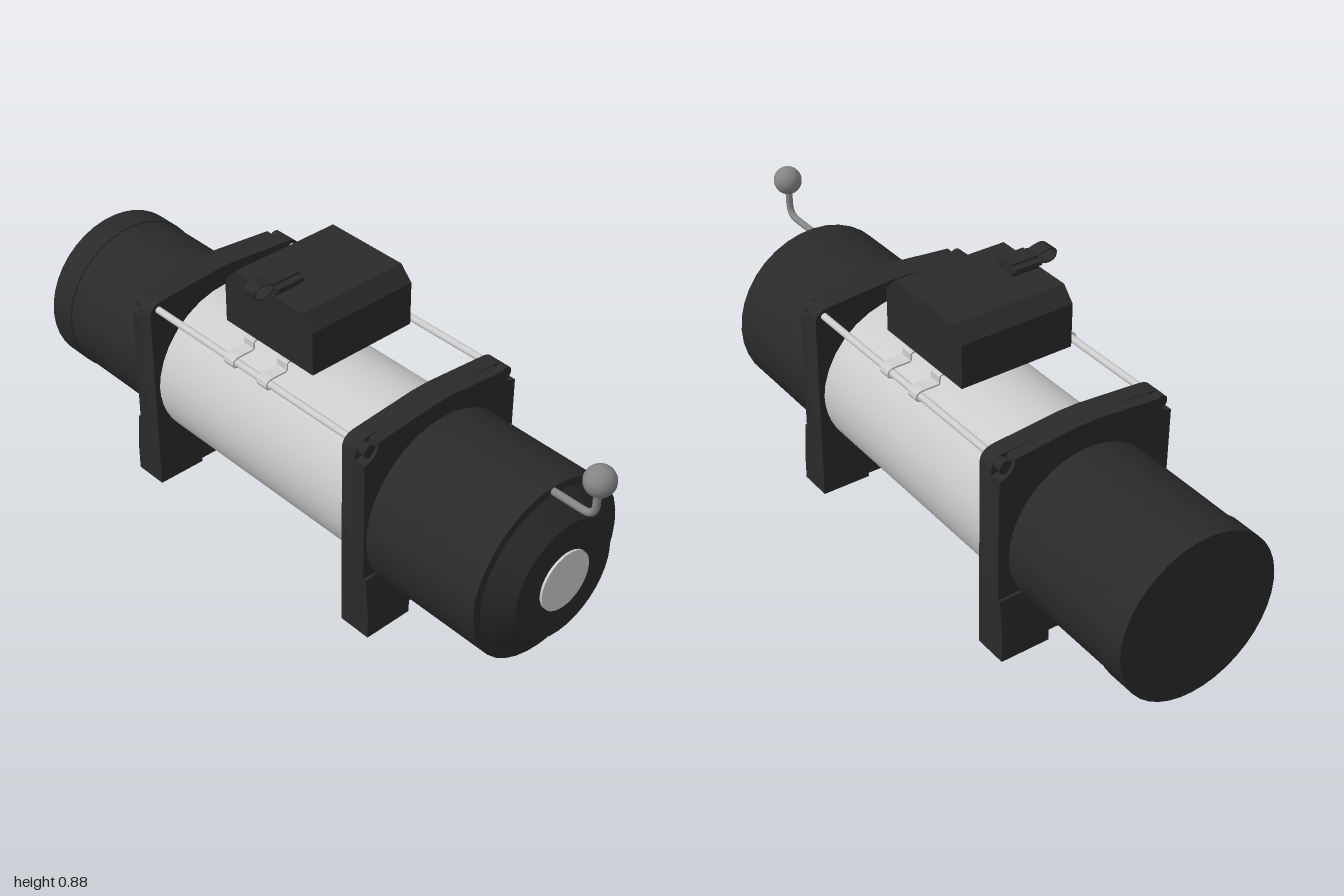
import * as THREE from 'three';
import { toCreasedNormals } from 'three/addons/utils/BufferGeometryUtils.js';

const AXIS = 0.33; // height of the drum axis
const mat = (color) => new THREE.MeshStandardMaterial({ color });
const dark = mat(0x2a2a2a), light = mat(0xcccccc), steel = mat(0x858585);

function add(parent, name, geo, material) {
  const mesh = new THREE.Mesh(geo, material);
  mesh.name = name;
  parent.add(mesh);
  return mesh;
}

// Turned part along x; profile is a list of [x, radius]
function turned(profile, sides = 40) {
  const pts = profile.map(([x, r]) => new THREE.Vector2(r, x));
  const geo = new THREE.LatheGeometry(pts, sides).rotateZ(-Math.PI / 2).translate(0, AXIS, 0);
  return toCreasedNormals(geo, 0.4);
}

// Extrude a shape drawn in the (-z, y) plane along x
function alongX(shape, x, width) {
  const geo = new THREE.ExtrudeGeometry(shape, { depth: width, bevelEnabled: false, curveSegments: 16 });
  return toCreasedNormals(geo.rotateY(Math.PI / 2).translate(x, 0, 0), 0.5);
}

// Thin band following a [z, y] path, centred on x
function ribbon(path, t, x, width) {
  const p = path.map(([z, y]) => new THREE.Vector2(-z, y));
  const side = (s) => p.map((q, i) => {
    const d = p[Math.min(i + 1, p.length - 1)].clone().sub(p[Math.max(i - 1, 0)]).normalize();
    return new THREE.Vector2(q.x - d.y * t * s, q.y + d.x * t * s);
  });
  return alongX(new THREE.Shape([...side(0.5), ...side(-0.5).reverse()]), x - width / 2, width);
}

// Outline of a support plate; cut leaves pockets round the tie bolts
function plateShape(cut) {
  const s = new THREE.Shape();
  s.moveTo(-0.123, 0.012);
  s.lineTo(-0.123, 0);
  s.lineTo(-0.279, 0);
  if (cut) {
    s.lineTo(-0.279, 0.585);
    s.quadraticCurveTo(-0.235, 0.59, -0.23, 0.636);
  } else {
    s.lineTo(-0.279, 0.6);
    s.quadraticCurveTo(-0.277, 0.634, -0.235, 0.638);
  }
  s.lineTo(-0.03, 0.655);
  s.lineTo(0.03, 0.655);
  if (cut) {
    s.lineTo(0.23, 0.636);
    s.quadraticCurveTo(0.235, 0.59, 0.279, 0.585);
  } else {
    s.lineTo(0.235, 0.638);
    s.quadraticCurveTo(0.277, 0.634, 0.279, 0.6);
  }
  s.lineTo(0.279, 0);
  s.lineTo(0.123, 0);
  s.lineTo(0.123, 0.012);
  return s;
}

// Support plate whose outer face looks along +x
function makePlate(name) {
  const plate = new THREE.Group();
  plate.name = name;
  const inner = plateShape(false);
  inner.holes.push(new THREE.Path().absarc(0, AXIS, 0.264, 0, Math.PI * 2, true));
  add(plate, 'plateInner', alongX(inner, 0, 0.025), dark);
  add(plate, 'plateMiddle', alongX(plateShape(false), 0.025, 0.025), dark);
  add(plate, 'plateOuter', alongX(plateShape(true), 0.05, 0.035), dark);
  for (const s of [-1, 1]) {
    // flared foot
    const profile = new THREE.Shape([[0, 0], [0.105, 0], [0.105, 0.08], [0.085, 0.2], [0, 0.2]]
      .map(([x, y]) => new THREE.Vector2(x, y)));
    const foot = new THREE.ExtrudeGeometry(profile, { depth: 0.05, bevelEnabled: false });
    // the foot covers only the outer part so the drum recess stays clear
    foot.scale(0.55, 1, 3.12).translate(0.0475, 0, s > 0 ? 0.123 : -0.279);
    add(plate, 'foot', foot, dark);
    const hole = add(plate, 'mountingNut', new THREE.CylinderGeometry(0.015, 0.015, 0.01, 16), steel);
    hole.position.set(0.05, 0.004, s * 0.22);
    // tie bolt head in its pocket
    const head = new THREE.CylinderGeometry(0.02, 0.02, 0.027, 20).rotateZ(Math.PI / 2);
    add(plate, 'boltHead', head, dark).position.set(0.062, 0.613, s * 0.252);
  }
  return plate;
}

export function createModel() {
  const winch = new THREE.Group();
  winch.name = 'winch';

  // Drum, motor and gearbox
  add(winch, 'drum', turned([[-0.474, 0], [-0.474, 0.249], [0.364, 0.249], [0.364, 0]], 48), light);
  add(winch, 'motor', turned([[-1, 0], [-1, 0.25], [-0.912, 0.25], [-0.91, 0.246], [-0.5, 0.246]]), dark);
  add(winch, 'gearbox', turned([[0.4, 0.27], [0.815, 0.27], [0.817, 0.247], [0.875, 0.18], [0.875, 0]], 36), dark);
  add(winch, 'gearboxDisc', turned([[0.87, 0.09], [0.882, 0.09], [0.882, 0]], 32), light);

  // Support plates
  const leftPlate = makePlate('leftPlate');
  leftPlate.position.x = 0.34;
  const rightPlate = makePlate('rightPlate');
  rightPlate.position.x = -0.455;
  rightPlate.rotation.y = Math.PI;
  winch.add(leftPlate, rightPlate);

  // Tie rods between the plates
  for (const s of [-1, 1]) {
    const rod = new THREE.CylinderGeometry(0.0105, 0.0105, 0.82, 16).rotateZ(Math.PI / 2);
    add(winch, 'tieRod', rod, light).position.set(-0.057, 0.614, s * 0.25);
  }

  // Straps that hook over the rods and carry the control box
  const half = [[0.186, 0.655], [0.189, 0.652], [0.19, 0.632], [0.195, 0.629], [0.235, 0.629],
    [0.252, 0.628], [0.262, 0.622], [0.265, 0.612], [0.26, 0.602], [0.25, 0.599], [0.235, 0.6]];
  const mirrored = half.map(([z, y]) => [-z, y]).reverse();
  for (const x of [-0.128, 0.008]) {
    add(winch, 'boxStrap', ribbon([...mirrored, ...half], 0.005, x, 0.04), light);
  }

  // Control box with chamfered top
  const boxShape = new THREE.Shape([[-0.235, 0.658], [0.119, 0.658], [0.119, 0.792], [0.078, 0.835],
    [-0.195, 0.835], [-0.235, 0.792]].map(([x, y]) => new THREE.Vector2(x, y)));
  const box = new THREE.ExtrudeGeometry(boxShape, { depth: 0.36, bevelEnabled: false });
  add(winch, 'controlBox', box.translate(0, 0, -0.18), dark);

  // Remote socket, its cap and the flexible cap loop
  const block = (name, w, h, d, x, y, z) =>
    add(winch, name, new THREE.BoxGeometry(w, h, d), dark).position.set(x, y, z);
  block('socket', 0.06, 0.03, 0.086, -0.06, 0.847, 0.132);
  block('socketFlange', 0.088, 0.012, 0.09, -0.06, 0.857, 0.131);
  block('socketCap', 0.05, 0.006, 0.09, -0.06, 0.868, 0.131);
  const loop = new THREE.CatmullRomCurve3([[0.17, 0.867], [0.195, 0.874], [0.22, 0.877], [0.238, 0.867],
    [0.236, 0.846], [0.216, 0.837], [0.195, 0.842], [0.17, 0.861]]
    .map(([z, y]) => new THREE.Vector3(0, y, z))).getPoints(28).map((p) => [p.z, p.y]);
  add(winch, 'capLoop', ribbon(loop, 0.003, -0.06, 0.045), dark);

  // Clutch lever with ball knob
  const path = new THREE.CurvePath();
  const v = (x, y) => new THREE.Vector3(x, y, 0);
  path.add(new THREE.LineCurve3(v(0.8, 0.587), v(0.912, 0.587)));
  path.add(new THREE.QuadraticBezierCurve3(v(0.912, 0.587), v(0.953, 0.587), v(0.953, 0.63)));
  path.add(new THREE.LineCurve3(v(0.953, 0.63), v(0.953, 0.68)));
  add(winch, 'clutchLever', new THREE.TubeGeometry(path, 32, 0.0105, 14), steel);
  add(winch, 'leverKnob', new THREE.SphereGeometry(0.043, 28, 20), steel).position.set(0.956, 0.705, 0);

  return winch;
}
